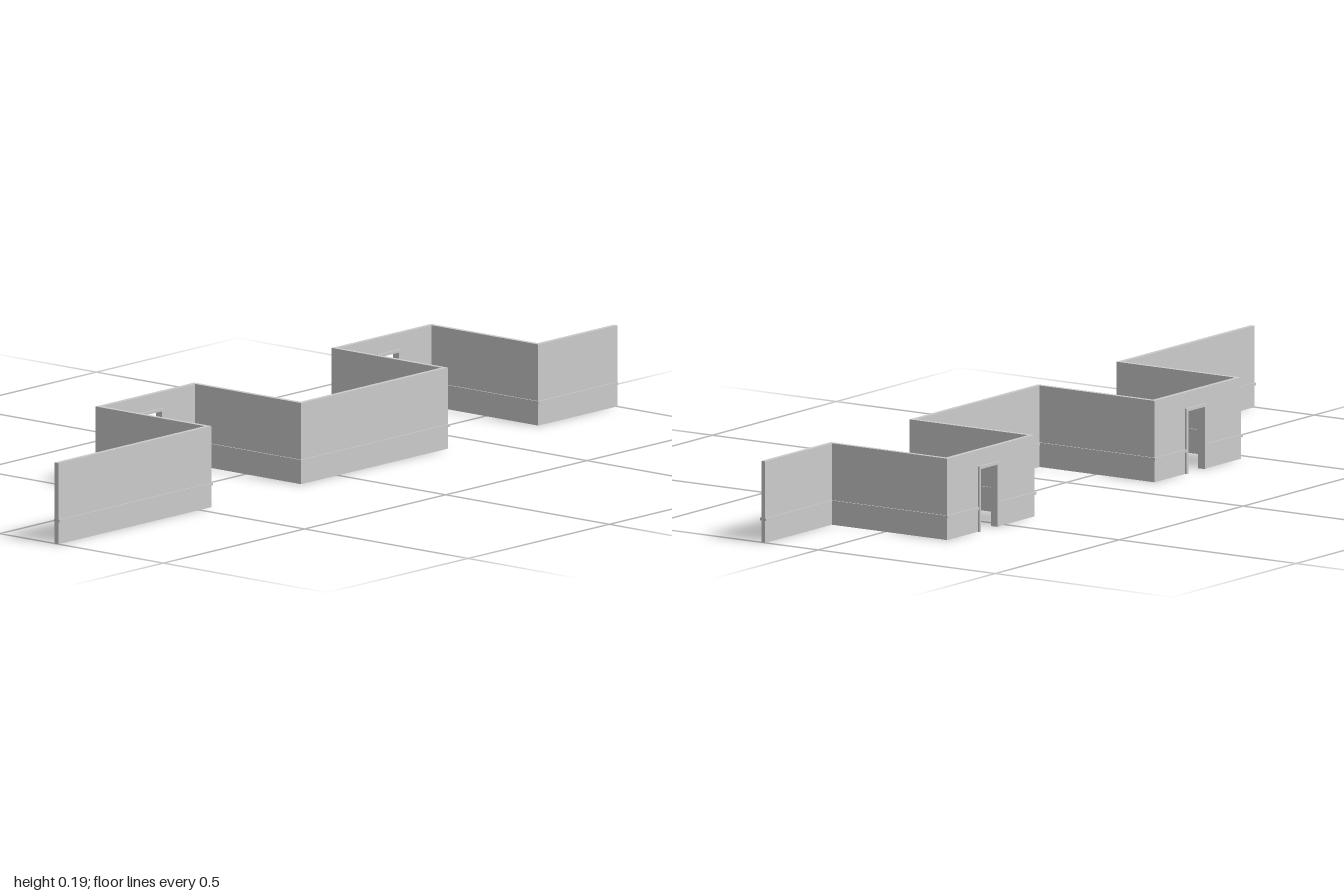
import * as THREE from 'three';

const H = 0.192, T = 0.011;            // wall height and thickness
const DOOR_H = 0.147, FRAME = 0.007;   // door opening height, frame width
const BAND_Y = 0.0515, BAND_H = 0.0065, BAND_T = 0.017;

// Wall centre line in plan [x, z], from the left end of the front to the right
const path = [
  [-1, 0.1735], [-0.4635, 0.1735], [-0.4635, -0.1605], [-0.1245, -0.1605],
  [-0.1245, 0.1645], [0.3845, 0.1645], [0.3845, -0.1705], [0.7255, -0.1705],
  [0.7255, 0.1555], [1, 0.1555],
];
// Door openings: the path segment they stand in and their x range
const doors = [
  { segment: 2, x0: -0.317, x1: -0.25 },
  { segment: 6, x0: 0.533, x1: 0.6 },
];

const material = new THREE.MeshStandardMaterial({ color: 0xcccccc, flatShading: true });

function add(parent, name, geometry, x = 0, y = 0, z = 0) {
  const mesh = new THREE.Mesh(geometry, material);
  mesh.name = name;
  mesh.position.set(x, y, z);
  parent.add(mesh);
}

const polygon = (pts) => new THREE.Shape(pts.map(([x, y]) => new THREE.Vector2(x, y)));

const extrude = (shape, depth) =>
  new THREE.ExtrudeGeometry(shape, { depth, bevelEnabled: false });

// Plan outline of a strip of width w along a right-angled centre line, mitred at corners
function stripOutline(pts, w) {
  const normal = (a, b) => {
    const l = Math.hypot(b[0] - a[0], b[1] - a[1]);
    return [-(b[1] - a[1]) / l, (b[0] - a[0]) / l];
  };
  const side = (s) => pts.map((p, i) => {
    const n0 = i > 0 ? normal(pts[i - 1], p) : null;
    const n1 = i < pts.length - 1 ? normal(p, pts[i + 1]) : null;
    const n = n0 && n1 ? [n0[0] + n1[0], n0[1] + n1[1]] : n0 || n1;
    return [p[0] + n[0] * s * w / 2, p[1] + n[1] * s * w / 2];
  });
  return [...side(1), ...side(-1).reverse()];
}

export function createModel() {
  const group = new THREE.Group();
  group.name = 'zigzagWall';

  // Wall panels: those along x own the corners, those along z fit between them
  for (let i = 0; i < path.length - 1; i++) {
    const [ax, az] = path[i], [bx, bz] = path[i + 1];
    if (az !== bz) {
      const length = Math.abs(bz - az) - T;
      add(group, 'sideWall', new THREE.BoxGeometry(T, H, length), ax, H / 2, (az + bz) / 2);
      continue;
    }
    const x0 = i === 0 ? ax : ax - T / 2;
    const x1 = i === path.length - 2 ? bx : bx + T / 2;
    const door = doors.find((d) => d.segment === i);
    const pts = [[x0, 0]];
    if (door) {
      const l = door.x0 - FRAME, r = door.x1 + FRAME, t = DOOR_H + FRAME;
      pts.push([l, 0], [l, t], [r, t], [r, 0]);
    }
    pts.push([x1, 0], [x1, H], [x0, H]);
    add(group, door ? 'backWall' : 'frontWall', extrude(polygon(pts), T), 0, 0, az - T / 2);
  }

  // Door frames, slightly proud of the wall
  for (const { segment, x0, x1 } of doors) {
    const t = DOOR_H + FRAME, depth = T + 0.008;
    const frame = polygon([
      [x0 - FRAME, 0], [x0, 0], [x0, DOOR_H], [x1, DOOR_H],
      [x1, 0], [x1 + FRAME, 0], [x1 + FRAME, t], [x0 - FRAME, t],
    ]);
    add(group, 'doorFrame', extrude(frame, depth), 0, 0, path[segment][1] - depth / 2);
  }

  // Narrow band around both faces of the wall, broken at the doors
  let run = [];
  const endRun = () => {
    const outline = stripOutline(run, BAND_T).map(([x, z]) => [x, -z]);
    const geometry = extrude(polygon(outline), BAND_H).rotateX(-Math.PI / 2);
    add(group, 'band', geometry, 0, BAND_Y, 0);
  };
  path.forEach((p, i) => {
    run.push(p);
    const door = doors.find((d) => d.segment === i);
    if (door) {
      run.push([door.x0 - FRAME, p[1]]);
      endRun();
      run = [[door.x1 + FRAME, p[1]]];
    }
  });
  endRun();

  return group;
}
